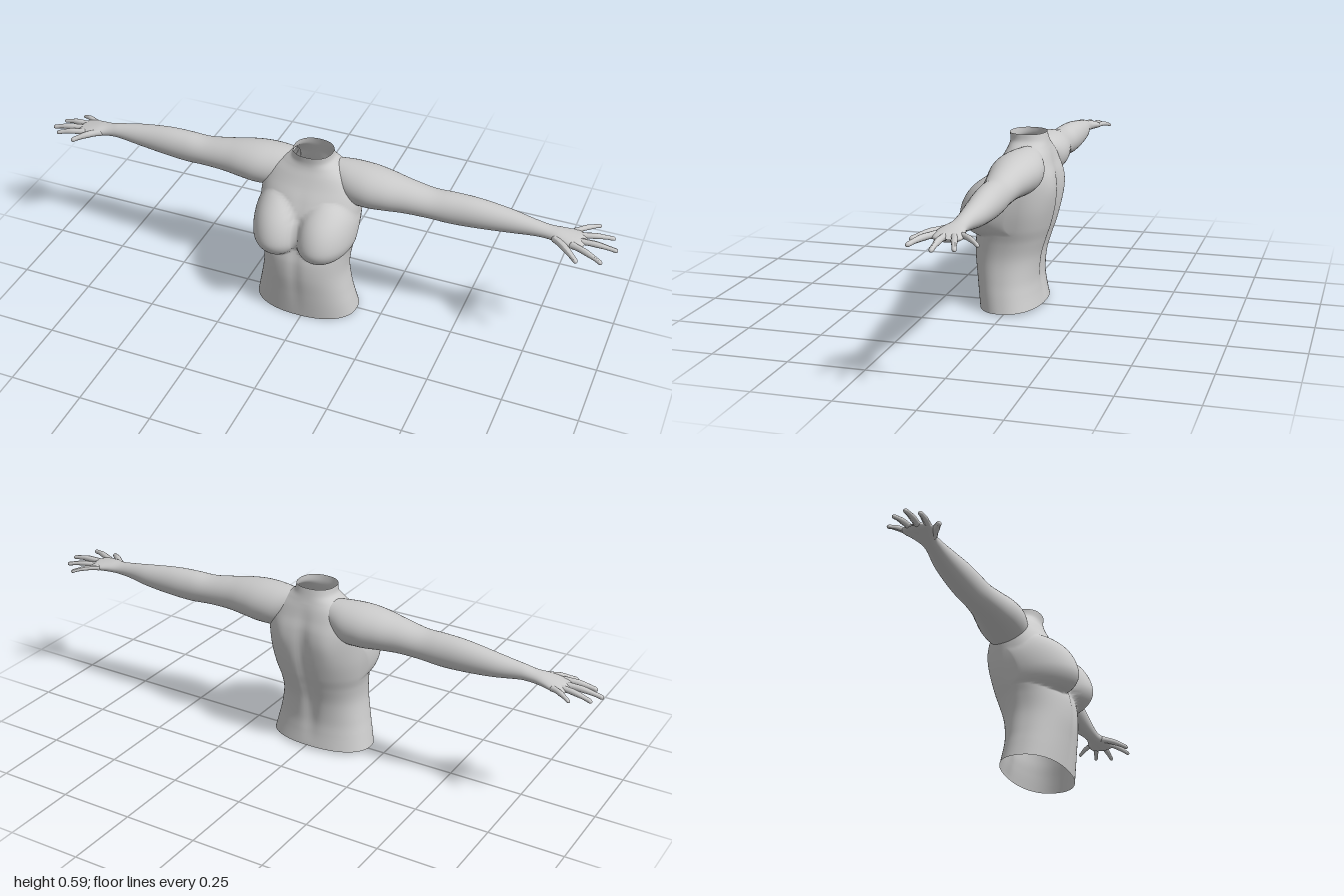
import * as THREE from 'three';

const MID = -0.015; // body centre line
const material = new THREE.MeshStandardMaterial({ color: 0xcccccc, side: THREE.DoubleSide });

// Smooth (Catmull-Rom) interpolation of every column in a table of sections
function sample(rows, u) {
  const f = u * (rows.length - 1);
  const i = Math.min(Math.floor(f), rows.length - 2);
  const t = f - i;
  const at = (k) => rows[THREE.MathUtils.clamp(k, 0, rows.length - 1)];
  return rows[i].map((b, c) => {
    const a = at(i - 1)[c], d = at(i + 1)[c], e = at(i + 2)[c];
    return b + 0.5 * t * (d - a + t * (2 * a - 5 * b + 4 * d - e + t * (3 * (b - d) + e - a)));
  });
}

// Closed-ring skin: point(u, angle) gives [x, y, z]
function loft(name, rings, sides, point) {
  const pos = [], index = [];
  for (let i = 0; i <= rings; i++) {
    for (let j = 0; j < sides; j++) pos.push(...point(i / rings, (j / sides) * Math.PI * 2));
  }
  for (let i = 0; i < rings; i++) {
    for (let j = 0; j < sides; j++) {
      const k = (j + 1) % sides;
      const a = i * sides + j, b = i * sides + k;
      index.push(a, b, b + sides, a, b + sides, a + sides);
    }
  }
  const geo = new THREE.BufferGeometry();
  geo.setAttribute('position', new THREE.Float32BufferAttribute(pos, 3));
  geo.setIndex(index);
  geo.computeVertexNormals();
  const mesh = new THREE.Mesh(geo, material);
  mesh.name = name;
  return mesh;
}

// Torso sections: height, half width, front z, back z
const TORSO = [
  [0, 0.18, 0.113, -0.103],
  [0.05, 0.169, 0.119, -0.094],
  [0.1, 0.158, 0.125, -0.09],
  [0.17, 0.147, 0.133, -0.097],
  [0.23, 0.15, 0.132, -0.114],
  [0.28, 0.16, 0.122, -0.13],
  [0.34, 0.169, 0.115, -0.143],
  [0.4, 0.172, 0.1, -0.147],
  [0.45, 0.17, 0.075, -0.142],
  [0.49, 0.16, 0.05, -0.13],
  [0.52, 0.137, 0.034, -0.121],
  [0.545, 0.1, 0.022, -0.112],
  [0.565, 0.073, 0.018, -0.106],
  [0.59, 0.067, 0.02, -0.1],
];

function torsoPoint(u, a) {
  const [y0, hw, zf, zb] = sample(TORSO, u);
  const s = Math.sin(a), c = Math.cos(a);
  const soft = (v) => Math.sign(v) * Math.abs(v) ** 0.88;
  let x = hw * soft(s);
  let z = (zf + zb) / 2 + ((zf - zb) / 2) * soft(c);
  const y = y0 + 0.01 * (1 - u) * (1 - c) / 2;
  if (c > -0.2) {
    // breasts: full and steep below, sloping gently above
    const dx = (Math.abs(x) - 0.092) / 0.092;
    const dy = (y - 0.322) / (y > 0.322 ? 0.135 : 0.072);
    const bump = Math.max(0, 1 - dx * dx - dy * dy) ** 0.75;
    z += 0.066 * bump;
    x += Math.sign(x) * 0.016 * bump * Math.abs(s);
    // shallow furrow down the belly and breastbone
    z -= 0.005 * Math.exp(-((x / 0.02) ** 2)) * Math.sin(Math.PI * Math.min(1, y / 0.5));
  } else {
    // spine groove and shoulder blades
    const fade = Math.sin(Math.PI * THREE.MathUtils.clamp((y - 0.02) / 0.52, 0, 1));
    z += 0.014 * fade * Math.exp(-((x / 0.025) ** 2));
    z -= 0.008 * Math.exp(-(((Math.abs(x) - 0.085) / 0.04) ** 2) - ((y - 0.42) / 0.07) ** 2);
  }
  return [MID + x, y, z];
}

// Arm sections: distance from centre, centre y, centre z, half height, half depth
const ARM = [
  [0.075, 0.505, -0.06, 0.05, 0.05],
  [0.13, 0.489, -0.056, 0.069, 0.073],
  [0.19, 0.486, -0.052, 0.071, 0.08],
  [0.25, 0.485, -0.05, 0.065, 0.074],
  [0.32, 0.481, -0.05, 0.056, 0.061],
  [0.4, 0.474, -0.052, 0.05, 0.052],
  [0.47, 0.472, -0.055, 0.053, 0.049],
  [0.55, 0.472, -0.058, 0.05, 0.046],
  [0.65, 0.47, -0.06, 0.039, 0.038],
  [0.73, 0.469, -0.057, 0.027, 0.028],
  [0.78, 0.468, -0.055, 0.021, 0.027],
  [0.82, 0.468, -0.052, 0.019, 0.037],
  [0.86, 0.466, -0.052, 0.016, 0.046],
  [0.885, 0.465, -0.052, 0.012, 0.042],
  [0.9, 0.465, -0.054, 0.002, 0.015],
];

// Fingers: name, base distance, base z, tip distance, radius
const FINGERS = [
  ['thumb', 0.8, -0.035, 0.895, 0.012],
  ['indexFinger', 0.855, -0.02, 0.968, 0.0105],
  ['middleFinger', 0.865, -0.045, 1.0, 0.0105],
  ['ringFinger', 0.86, -0.068, 0.98, 0.01],
  ['littleFinger', 0.85, -0.086, 0.925, 0.009],
];

function finger(name, base, tip, r) {
  const dir = tip.clone().sub(base);
  const len = dir.length();
  const geo = new THREE.CapsuleGeometry(r, len - 2 * r, 6, 12, 8);
  const p = geo.attributes.position;
  for (let i = 0; i < p.count; i++) {
    const t = p.getY(i) / len + 0.5;
    const k = 1.12 - 0.45 * t + 0.06 * Math.cos(t * 12); // taper with knuckles
    p.setXYZ(i, p.getX(i) * k, p.getY(i), p.getZ(i) * k);
  }
  geo.applyQuaternion(new THREE.Quaternion().setFromUnitVectors(new THREE.Vector3(0, 1, 0), dir.normalize()));
  geo.translate(...base.clone().add(tip).multiplyScalar(0.5).toArray());
  // arch the finger slightly upward in the middle
  for (let i = 0; i < p.count; i++) {
    const t = new THREE.Vector3().fromBufferAttribute(p, i).sub(base).dot(dir) / len;
    p.setY(i, p.getY(i) + 0.006 * Math.sin(Math.PI * THREE.MathUtils.clamp(t, 0, 1)));
  }
  geo.computeVertexNormals();
  const mesh = new THREE.Mesh(geo, material);
  mesh.name = name;
  return mesh;
}

// One arm with its hand; tipZ spreads the fingers, droop lowers the hand
function arm(name, side, tipZ, droop) {
  const group = new THREE.Group();
  group.name = name;
  const toX = (d) => MID + side * d * (1 - side * MID);
  const drop = (d) => droop * Math.max(0, (d - 0.75) / 0.25);
  group.add(loft('armAndPalm', 90, 40, (u, angle) => {
    const [d, y, z, ry, rz] = sample(ARM, u);
    const a = angle * side;
    return [toX(d), y - drop(d) + Math.max(ry, 0) * Math.cos(a), z + Math.max(rz, 0) * Math.sin(a)];
  }));
  FINGERS.forEach(([part, d0, z0, d1, r], i) => {
    const low = i === 0 ? 0.006 : 0;
    group.add(finger(part,
      new THREE.Vector3(toX(d0), 0.466 - drop(d0), z0),
      new THREE.Vector3(toX(d1), 0.462 - low - drop(d1), tipZ[i]), r));
  });
  return group;
}

export function createModel() {
  const model = new THREE.Group();
  model.name = 'upperBody';
  model.add(loft('torso', 110, 112, torsoPoint));
  model.add(arm('leftArm', 1, [0.05, 0.033, -0.048, -0.108, -0.158], 0.004));
  model.add(arm('rightArm', -1, [0.028, 0, -0.032, -0.078, -0.122], 0.026));
  return model;
}
